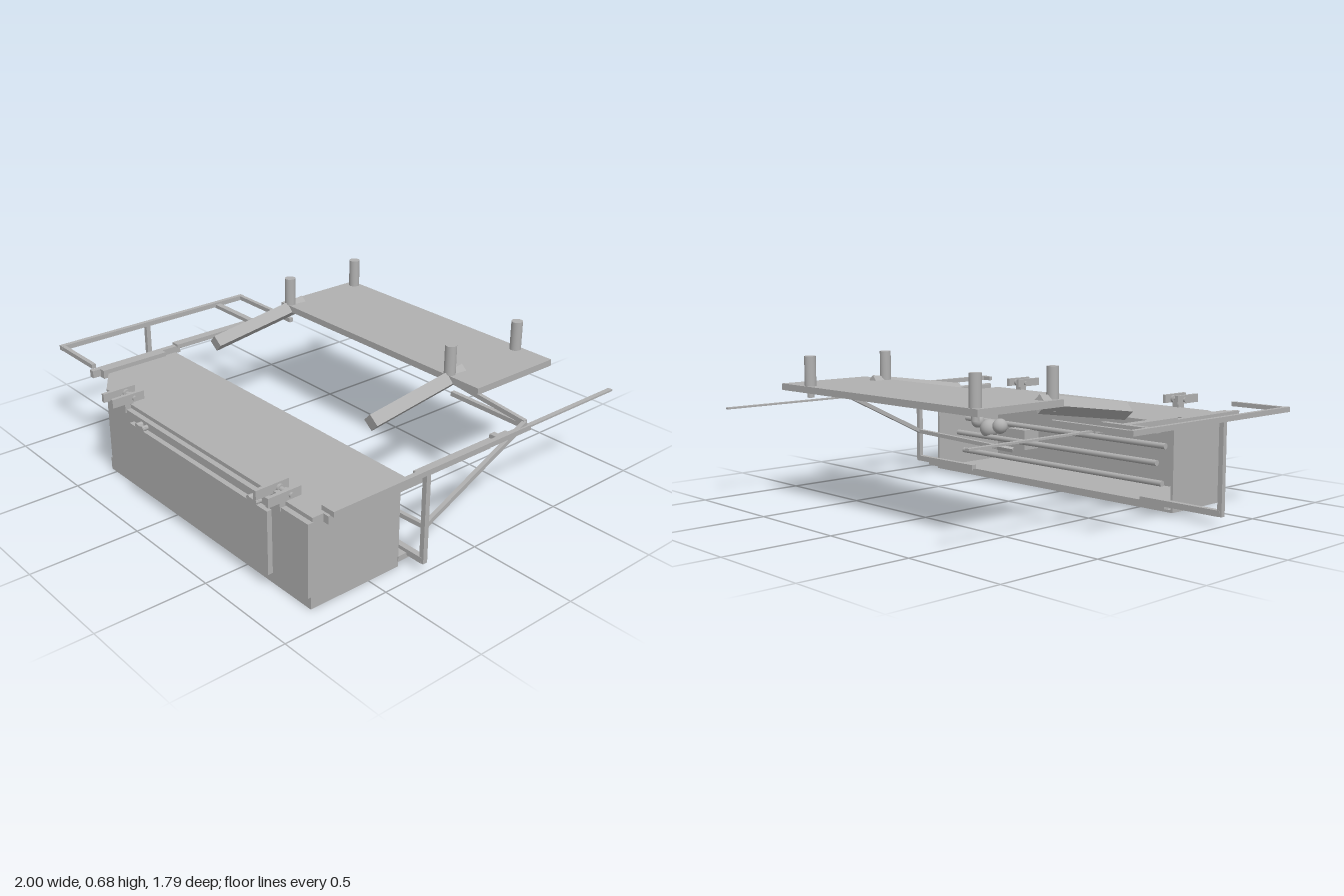
import * as THREE from 'three';

export function createModel() {
  const root = new THREE.Group();
  root.name = 'serviceUnit';
  const grey = new THREE.MeshStandardMaterial({ color: 0xb0b0b0, side: THREE.DoubleSide });
  grey.name = 'plainGrey';

  const add = (name, geometry, parent = root) => {
    const mesh = new THREE.Mesh(geometry, grey);
    mesh.name = name;
    parent.add(mesh);
    return mesh;
  };
  // Box given by its minimum and maximum on each axis
  const box = (name, x0, x1, y0, y1, z0, z1, parent) => {
    const mesh = add(name, new THREE.BoxGeometry(x1 - x0, y1 - y0, z1 - z0), parent);
    mesh.position.set((x0 + x1) / 2, (y0 + y1) / 2, (z0 + z1) / 2);
    return mesh;
  };
  // Straight bar between two points; four sides make a square bar
  const bar = (name, a, b, radius, sides = 4, parent = root) => {
    const from = new THREE.Vector3(...a), to = new THREE.Vector3(...b);
    let geometry = new THREE.CylinderGeometry(radius, radius, from.distanceTo(to), sides);
    if (sides === 4) geometry = geometry.rotateY(Math.PI / 4).toNonIndexed();
    if (sides === 4) geometry.computeVertexNormals();
    const mesh = add(name, geometry, parent);
    mesh.position.copy(from).add(to).multiplyScalar(0.5);
    mesh.quaternion.setFromUnitVectors(new THREE.Vector3(0, 1, 0), to.sub(from).normalize());
    return mesh;
  };
  // Horizontal slab from a plan outline of [x, z] points
  const slab = (name, points, y, height) => {
    const shape = new THREE.Shape(points.map(([x, z]) => new THREE.Vector2(x, -z)));
    const geometry = new THREE.ExtrudeGeometry(shape, { depth: height, bevelEnabled: false });
    add(name, geometry.rotateX(-Math.PI / 2)).position.y = y;
  };

  // Cabinet, open at the back, with one chamfered front corner
  const outline = [[-0.69, 0.34], [-0.69, 0.69], [-0.54, 0.785], [0.9, 0.785], [0.9, 0.34]];
  const inner = [[0.888, 0.34], [0.888, 0.773], [-0.536, 0.773], [-0.678, 0.683], [-0.678, 0.34]];
  slab('cabinetFloor', outline, 0, 0.012);
  slab('cabinetWalls', [...outline, ...inner], 0.012, 0.375);
  slab('cabinetLid', [[-0.69, 0.32], [-0.69, 0.69], [-0.54, 0.79], [0.905, 0.79], [0.905, 0.32]], 0.387, 0.018);
  box('rearLedge', -0.69, 0.905, 0.025, 0.05, 0.28, 0.345);
  box('frontPanel', -0.5, 0.905, 0.06, 0.385, 0.785, 0.812);
  box('frontPanelSill', -0.54, 0.9, 0, 0.06, 0.785, 0.795);
  box('door', -0.28, 0.69, 0.065, 0.35, 0.812, 0.835);
  for (const x of [-0.195, 0.6]) {
    box('handle', x - 0.03, x + 0.03, 0.355, 0.37, 0.822, 0.84);
    for (const s of [-1, 1]) {
      const knob = add('handleKnob', new THREE.CylinderGeometry(0.012, 0.012, 0.03, 16).rotateX(Math.PI / 2));
      knob.position.set(x + s * 0.02, 0.362, 0.825);
    }
  }

  // Pipework inside the cabinet
  for (const [y, z] of [[0.1, 0.44], [0.2, 0.4], [0.27, 0.46]])
    bar('innerPipe', [-0.55, y, z], [0.8, y, z], 0.014, 12);
  for (const [x, y, r] of [[0.5, 0.26, 0.04], [0.58, 0.24, 0.05], [0.67, 0.27, 0.035]])
    add('valve', new THREE.SphereGeometry(r, 16, 12)).position.set(x, y, 0.42);
  box('valveBlock', 0.3, 0.42, 0.16, 0.26, 0.4, 0.5);

  // Slide rails and long thin rods on both ends
  for (const [x, s] of [[-0.72, 1], [0.947, -1]]) {
    box('slideRail', x - 0.022, x + 0.022, 0.42, 0.435, -0.23, 0.3);
    box('railWeb', x - 0.015, x + 0.015, 0.41, 0.42, -0.1, 0.28);
    box('mountRail', x - 0.015, x + 0.012, 0.39, 0.425, 0.28, 0.76);
    const edge = x + s * 0.02;
    box('mountFlange', edge - 0.02, edge + 0.02, 0.385, 0.425, 0.38, 0.72);
    box('thinRod', x - 0.011, x + 0.011, 0.422, 0.43, -0.9, -0.2);
  }

  // Tubular frame, one side frame on each end
  const r = 0.016;
  for (const s of [-1, 1]) {
    const frame = new THREE.Group();
    frame.name = s < 0 ? 'rightFrame' : 'leftFrame';
    root.add(frame);
    const X = 0.987 * s, inX = s < 0 ? -0.7 : 0.93;
    const top = 0.453;
    bar('outerBeam', [X, top, -0.303], [X, top, 0.768], r, 4, frame);
    bar('frontBeam', [X, top, 0.757], [inX, top, 0.757], r * 0.9, 4, frame);
    bar('backBeam', [X, top, -0.293], [0.56 * s, top, -0.293], r * 0.9, 4, frame);
    box('crossBeam', Math.min(X, inX), Math.max(X, inX), 0.437, 0.455, -0.155, -0.125, frame);
    bar('upright', [X, 0.04, 0.287], [X, top, 0.287], r, 4, frame);
    bar('lowerBeam', [X, 0.053, 0.287], [0.555 * s, 0.053, 0.287], 0.019, 4, frame);
  }
  // Brace and its bent lower end
  const braceRoute = [[0.3, 0.17, 0.32], [0.38, 0.18, 0.287], [0.975, 0.2, 0.277], [0.98, 0.475, -0.285], [0.56, 0.51, -0.295]];
  for (let i = 0; i < braceRoute.length - 1; i++)
    bar('brace', braceRoute[i], braceRoute[i + 1], 0.014);

  // Clamps at the front edge
  for (const x of [-0.355, 0.73]) {
    const clamp = new THREE.Group();
    clamp.name = 'clamp';
    clamp.position.x = x;
    root.add(clamp);
    for (const s of [-1, 1]) {
      box('clampArm', s * 0.037 - 0.008, s * 0.037 + 0.008, 0.425, 0.465, 0.735, 0.893, clamp);
      const nut = add('clampNut', new THREE.CylinderGeometry(0.018, 0.018, 0.012, 16).rotateZ(Math.PI / 2), clamp);
      nut.position.set(s * 0.018, 0.443, 0.785);
    }
    bar('clampPin', [-0.055, 0.443, 0.785], [0.055, 0.443, 0.785], 0.011, 16, clamp);
    box('clampPost', -0.018, 0.018, 0.37, 0.443, 0.775, 0.818, clamp);
  }

  // Rear table with four posts
  box('table', -0.595, 0.735, 0.517, 0.547, -0.735, -0.26);
  for (const x of [-0.55, 0.55]) {
    for (const z of [-0.705, -0.28]) {
      bar('post', [x, 0.547, z], [x, 0.682, z], 0.026, 24);
      bar('postStud', [x, 0.495, z], [x, 0.517, z], 0.016, 16);
    }
    // Tilted diamond-section arm below the table
    const arm = add('supportArm', new THREE.BoxGeometry(0.057, 0.057, 0.545).rotateZ(Math.PI / 4));
    arm.position.set(x, 0.495, -0.09);
    arm.rotation.x = Math.atan2(0.076, 0.545);
  }
  return root;
}
